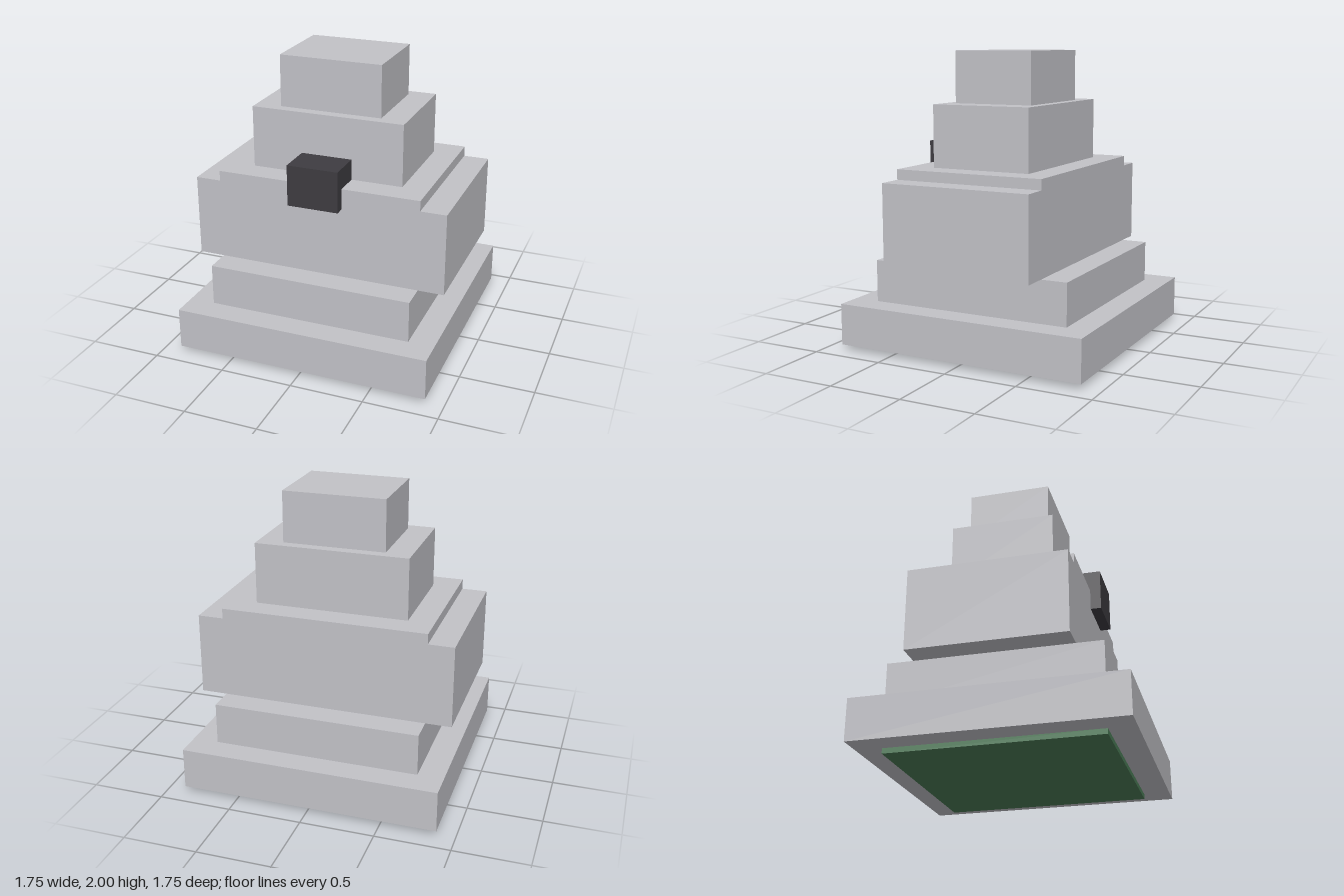
import * as THREE from 'three';

export function createModel() {
  const model = new THREE.Group();
  model.name = 'steppedFigure';

  const material = (name, color) => {
    const m = new THREE.MeshStandardMaterial({ color });
    m.name = name;
    return m;
  };
  const grey = material('stoneGrey', 0xc2c2c7);
  const dark = material('charcoal', 0x3e3c41);
  const green = material('baseGreen', 0x4c7c57);

  // Box spanning y0 to y1, with half sizes in x and z
  const block = (name, mat, halfX, y0, y1, halfZ, z = 0) => {
    const mesh = new THREE.Mesh(new THREE.BoxGeometry(halfX * 2, y1 - y0, halfZ * 2), mat);
    mesh.position.set(0, (y0 + y1) / 2, z);
    mesh.name = name;
    model.add(mesh);
  };

  // Stacked tiers from the ground up
  block('footPlate', green, 0.702, 0, 0.035, 0.702);
  block('base', grey, 0.877, 0.035, 0.316, 0.877);
  block('lowerBody', grey, 0.702, 0.316, 0.6, 0.702);
  block('torsoAndArms', grey, 0.877, 0.6, 1.158, 0.526);
  block('shoulders', grey, 0.702, 1.158, 1.228, 0.526);
  block('head', grey, 0.526, 1.228, 1.649, 0.351);
  block('crown', grey, 0.351, 1.649, 2, 0.281);

  // Snout, sunk into the shoulders and touching the head
  block('snout', dark, 0.175, 1.088, 1.368, 0.123, 0.474);

  return model;
}
